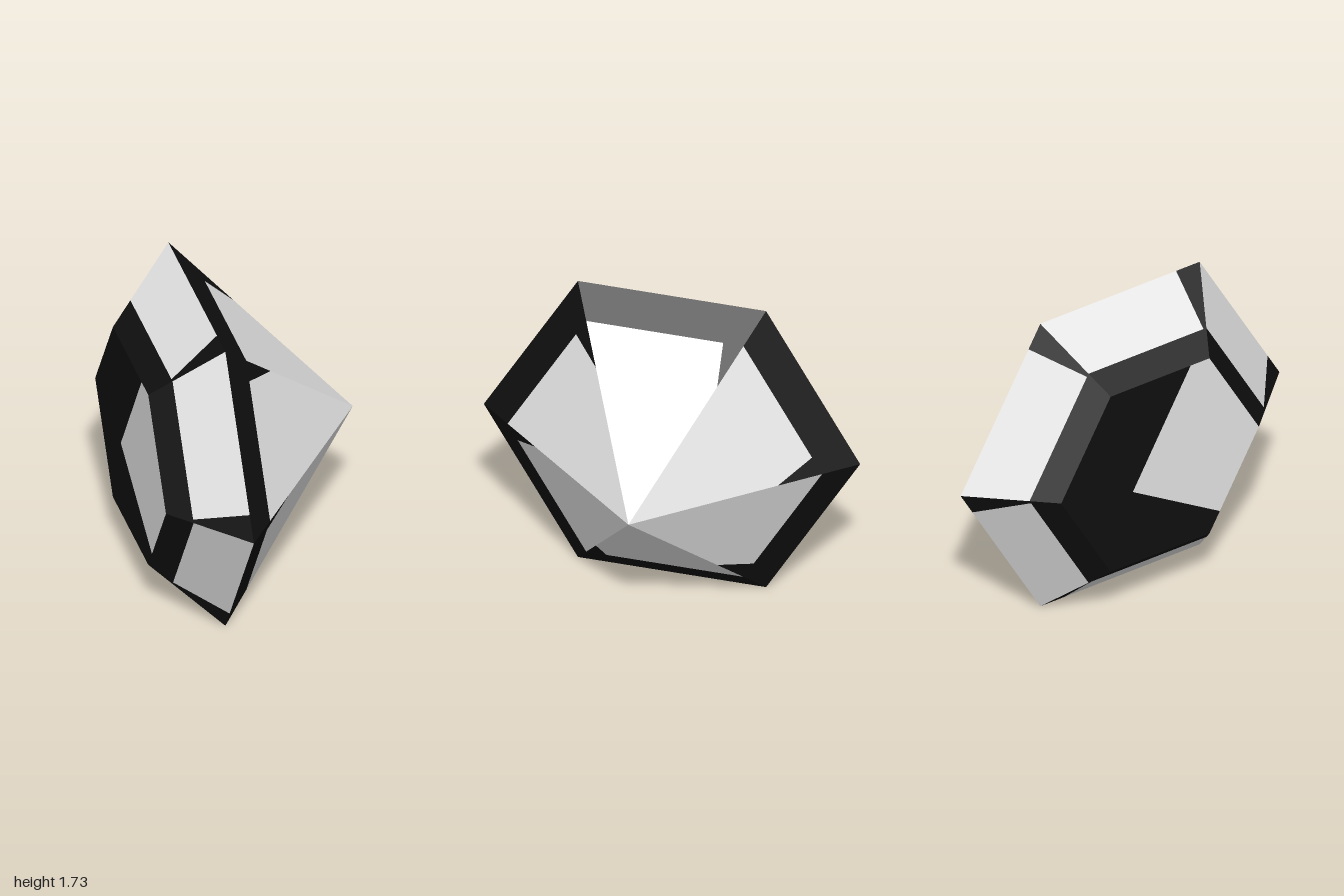
import * as THREE from 'three';

const CENTRE = new THREE.Vector3(-0.1, 0.866, 0);
const APEX_X = 0.595, GIRDLE_X = -0.24, TABLE_X = -0.595, TABLE_R = 0.62;

// Corner k of a hexagon of radius r lying across the x axis
function corner(x, r, k) {
  const a = (k * Math.PI) / 3;
  return new THREE.Vector3(x, 0.866 + r * Math.sin(a), r * Math.cos(a));
}
const mix = (a, b, t) => a.clone().lerp(b, t);

// Fans flat polygons into one mesh, each turned to face away from the centre
function facets(name, polygons, material) {
  const pos = [];
  for (const poly of polygons) {
    for (let i = 1; i < poly.length - 1; i++) {
      const [a, b, c] = [poly[0], poly[i], poly[i + 1]];
      const n = b.clone().sub(a).cross(c.clone().sub(a));
      const out = n.dot(a.clone().sub(CENTRE)) > 0;
      for (const p of out ? [a, b, c] : [a, c, b]) pos.push(p.x, p.y, p.z);
    }
  }
  const geo = new THREE.BufferGeometry();
  geo.setAttribute('position', new THREE.Float32BufferAttribute(pos, 3));
  geo.computeVertexNormals();
  const mesh = new THREE.Mesh(geo, material);
  mesh.name = name;
  return mesh;
}

export function createModel() {
  const pale = new THREE.MeshStandardMaterial({ color: 0xe6e6e6 });
  pale.name = 'pale grey';
  const black = new THREE.MeshStandardMaterial({ color: 0x0f0f0f });
  black.name = 'black';

  const apex = new THREE.Vector3(APEX_X, 0.866, 0);
  const pointPanels = [], pointBorders = [], crownPanels = [], crownBorders = [];

  for (let k = 0; k < 6; k++) {
    const g0 = corner(GIRDLE_X, 1, k), g1 = corner(GIRDLE_X, 1, k + 1);

    // Pointed side: pale panel, black rim and a notch at the far end
    const a = mix(apex, g0, 0.836), b = mix(apex, g1, 0.836);
    const end = mix(a, b, 0.871), notch = mix(apex, g1, 0.645);
    pointPanels.push([apex, a, end, notch]);
    pointBorders.push([a, g0, g1, b], [end, b, notch]);

    // Crown side: runs the other way, with a black wedge at the far end
    const t0 = corner(TABLE_X, TABLE_R, k), t1 = corner(TABLE_X, TABLE_R, k + 1);
    const s0 = mix(g1, t1, 0.685), s1 = mix(g0, t0, 0.685);
    const gEnd = mix(g1, g0, 0.852), sEnd = mix(s0, s1, 0.975);
    crownPanels.push([g1, gEnd, sEnd, s0]);
    crownBorders.push([gEnd, g0, s1, sEnd], [s0, s1, t0, t1]);
  }

  // Flat table: pale patch in one corner, black for the rest
  const t = [0, 1, 2, 3, 4, 5].map((k) => corner(TABLE_X, TABLE_R, k));
  const inner = new THREE.Vector3(TABLE_X, 0.766, -0.171);
  const top = mix(t[1], t[2], 0.19), low = mix(t[0], t[5], 0.79);

  const group = new THREE.Group();
  group.name = 'gem';
  group.add(
    facets('pointPanels', pointPanels, pale),
    facets('pointBorders', pointBorders, black),
    facets('crownPanels', crownPanels, pale),
    facets('crownBorders', crownBorders, black),
    facets('tablePanel', [[inner, top, t[1], t[0], low]], pale),
    facets('tableBorder', [[inner, low, t[5], t[4], t[3], t[2], top]], black)
  );
  return group;
}
